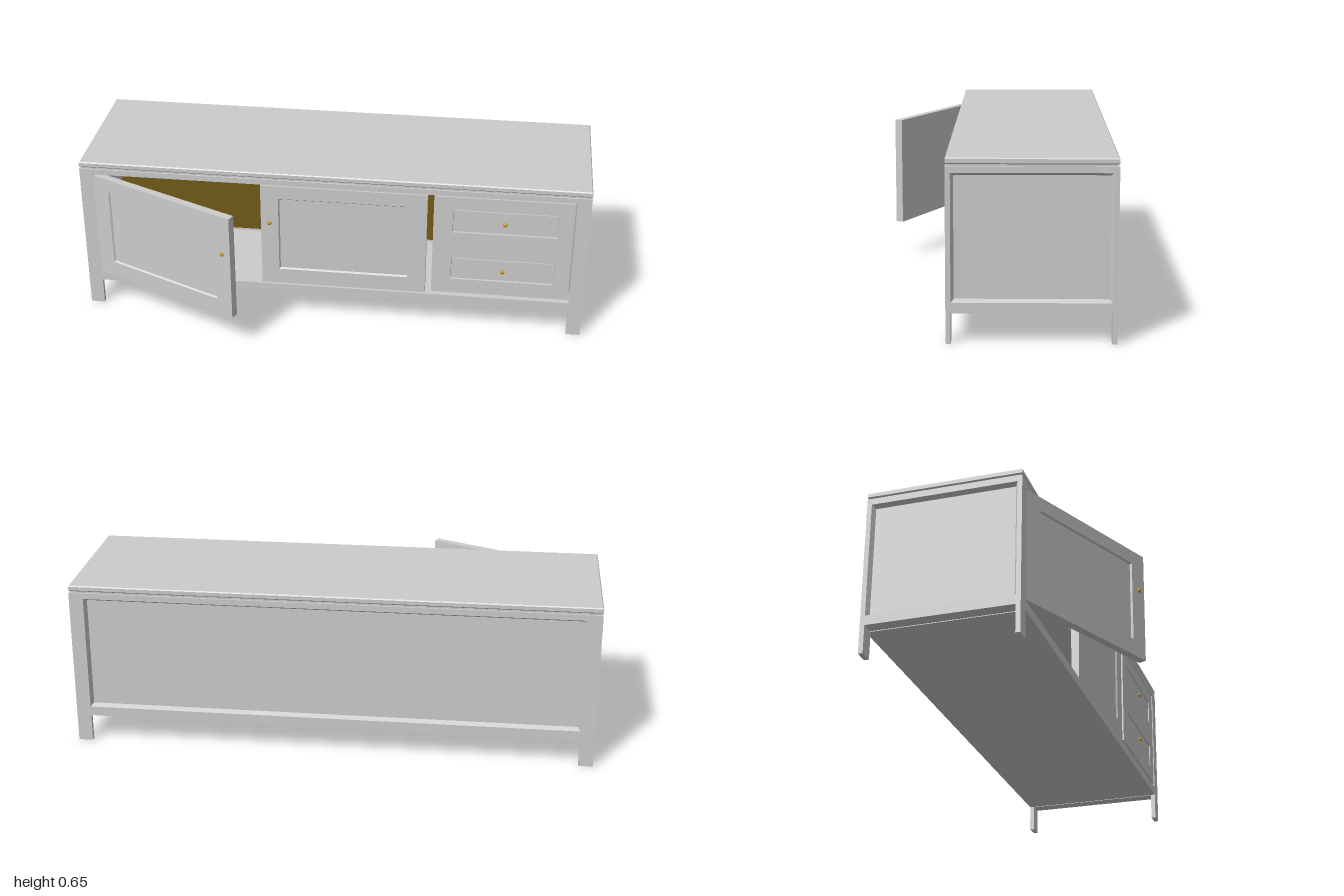
import * as THREE from 'three';

const grey = new THREE.MeshStandardMaterial({ color: 0xcccccc, flatShading: true, side: THREE.DoubleSide });
const wood = new THREE.MeshStandardMaterial({ color: 0x624f14 });
const brass = new THREE.MeshStandardMaterial({ color: 0xc9a227 });

// cabinet limits
const X = 1, LEG_W = 0.055, LEG_D = 0.018, FRONT = 0.157, BACK = -0.433;
const MID_Z = (FRONT + BACK) / 2, DEPTH = FRONT - BACK, IN = X - LEG_W;
const Y0 = 0.108, FLOOR = 0.145, CEIL = 0.595, Y1 = 0.617;

// box given by its limits on each axis
function box(parent, name, x0, x1, y0, y1, z0, z1, mat = grey) {
  const m = new THREE.Mesh(new THREE.BoxGeometry(x1 - x0, y1 - y0, z1 - z0), mat);
  m.position.set((x0 + x1) / 2, (y0 + y1) / 2, (z0 + z1) / 2);
  m.name = name;
  parent.add(m);
  return m;
}

// sloping moulding around a recessed panel, facing +z
function moulding(parent, x0, x1, y0, y1, inset, depth) {
  const ring = (d, z) => [[x0 + d, y0 + d, z], [x1 - d, y0 + d, z], [x1 - d, y1 - d, z], [x0 + d, y1 - d, z]];
  const a = ring(0, 0), b = ring(inset, -depth), pos = [];
  for (let i = 0; i < 4; i++) {
    const j = (i + 1) % 4;
    for (const p of [a[i], a[j], b[j], a[i], b[j], b[i]]) pos.push(...p);
  }
  const g = new THREE.BufferGeometry();
  g.setAttribute('position', new THREE.Float32BufferAttribute(pos, 3));
  g.computeVertexNormals();
  const m = new THREE.Mesh(g, grey);
  m.name = 'moulding';
  parent.add(m);
}

// framed panel: outer face at z = 0, lower left corner at the origin
function panelled(name, w, h, t, { stile = [0, 0], bottom = 0, top = 0, recess, inset }) {
  const g = new THREE.Group();
  g.name = name;
  const x0 = stile[0], x1 = w - stile[1], y0 = bottom, y1 = h - top;
  if (x0) box(g, 'stile', 0, x0, 0, h, -t, 0);
  if (stile[1]) box(g, 'stile', x1, w, 0, h, -t, 0);
  if (bottom) box(g, 'bottomRail', x0, x1, 0, y0, -t, 0);
  if (top) box(g, 'topRail', x0, x1, y1, h, -t, 0);
  box(g, 'panel', x0, x1, y0, y1, -t, -recess);
  moulding(g, x0, x1, y0, y1, inset, recess);
  return g;
}

// small turned knob pointing along +z
function knob(parent, x, y, z = 0) {
  const pts = [[0, 0], [0.005, 0], [0.004, 0.004], [0.009, 0.008], [0.009, 0.011], [0.005, 0.014], [0, 0.0145]];
  const m = new THREE.Mesh(new THREE.LatheGeometry(pts.map(p => new THREE.Vector2(...p)), 16), brass);
  m.rotation.x = Math.PI / 2;
  m.position.set(x, y, z);
  m.name = 'knob';
  parent.add(m);
}

export function createModel() {
  const root = new THREE.Group();
  root.name = 'sideboard';

  // corner legs
  for (const s of [-1, 1]) for (const z of [BACK, FRONT - LEG_D])
    box(root, 'leg', s > 0 ? IN : -X, s > 0 ? X : -IN, 0, Y1, z, z + LEG_D);

  // floor and upper frame
  box(root, 'floor', -IN, IN, Y0, FLOOR, BACK, FRONT);
  box(root, 'upperFrame', -IN, IN, CEIL, Y1, BACK, FRONT);

  // table top on a recessed neck, with chamfered edges
  box(root, 'topNeck', -X + 0.006, X - 0.006, Y1, 0.625, BACK + 0.006, FRONT - 0.006);
  const c = 0.004, hw = X - c, hd = DEPTH / 2 - c;
  const outline = new THREE.Shape([[-hw, -hd], [hw, -hd], [hw, hd], [-hw, hd]].map(p => new THREE.Vector2(...p)));
  const slab = new THREE.Mesh(new THREE.ExtrudeGeometry(outline,
    { depth: 0.022 - 2 * c, bevelEnabled: true, bevelSize: c, bevelThickness: c, bevelSegments: 1 }), grey);
  slab.rotation.x = -Math.PI / 2;
  slab.position.set(0, 0.624 + c, MID_Z);
  slab.name = 'tableTop';
  root.add(slab);

  // framed ends
  const endW = DEPTH - 2 * LEG_D;
  for (const s of [-1, 1]) {
    const end = panelled('endPanel', endW, Y1 - Y0, 0.05,
      { bottom: FLOOR - Y0, top: Y1 - CEIL, recess: 0.018, inset: 0.01 });
    end.rotation.y = s * Math.PI / 2;
    end.position.set(s * X, Y0, MID_Z + s * endW / 2);
    root.add(end);
  }

  // back panel
  const back = panelled('backPanel', 2 * IN, CEIL - FLOOR, 0.028, { recess: 0.018, inset: 0.01 });
  back.rotation.y = Math.PI;
  back.position.set(IN, FLOOR, BACK);
  root.add(back);

  // inner shelf with a wooden upper face
  box(root, 'shelf', -IN, 0.42, 0.363, 0.371, BACK + 0.028, 0.115);
  box(root, 'shelfLining', -IN, 0.42, 0.371, 0.372, BACK + 0.028, 0.115, wood);

  // doors: the first stands open on its outer edge
  const doorW = 0.655, doorY = 0.15, doorH = 0.44;
  const doorStyle = { stile: [0.07, 0.07], bottom: 0.065, top: 0.055, recess: 0.007, inset: 0.005 };
  const openDoor = panelled('openDoor', doorW, doorH, 0.031, doorStyle);
  openDoor.position.set(-IN, doorY, FRONT);
  openDoor.rotation.y = THREE.MathUtils.degToRad(-25);
  knob(openDoor, doorW - 0.035, 0.28, -0.004);
  const closedDoor = panelled('closedDoor', doorW, doorH, 0.031, doorStyle);
  closedDoor.position.set(-0.28, doorY, FRONT - 0.002);
  knob(closedDoor, 0.035, 0.28);
  root.add(openDoor, closedDoor);

  // drawer unit
  const unit = panelled('drawerUnit', 0.54, 0.43, 0.031,
    { stile: [0.075, 0.06], bottom: 0.063, top: 0.055, recess: 0.012, inset: 0.001 });
  unit.position.set(0.4, 0.16, FRONT - 0.002);
  box(unit, 'middleRail', 0.075, 0.48, 0.16, 0.275, -0.02, 0);
  for (const [y0, y1] of [[0.067, 0.156], [0.279, 0.371]]) {
    box(unit, 'drawerFront', 0.079, 0.476, y0, y1, -0.02, -0.003);
    knob(unit, 0.277, (y0 + y1) / 2, -0.003);
  }
  root.add(unit);
  return root;
}
